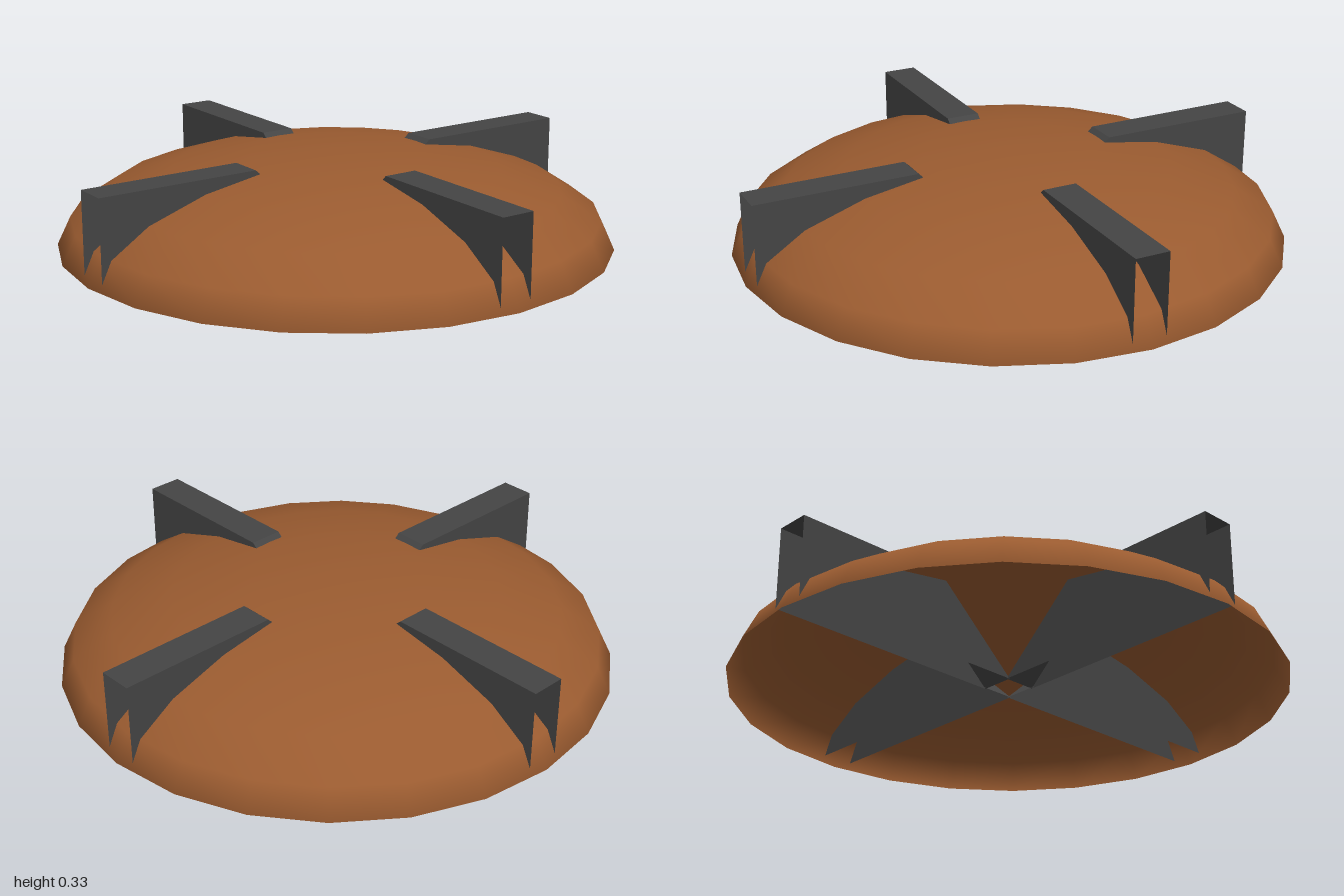
import * as THREE from 'three';

const HALF_WIDTH = 0.0625;
// Side outline of a fin: x runs outward from the centre
const outline = [[0.055, 0.025], [0.98, 0.025], [0.98, 0.32], [0.38, 0.32]].map(([x, y]) => new THREE.Vector2(x, y));

// Flat strip across the fin's width between two outline points, facing up
function strip(a, b) {
  const geo = new THREE.PlaneGeometry(a.distanceTo(b), HALF_WIDTH * 2);
  geo.rotateX(-Math.PI / 2);
  geo.rotateZ(Math.atan2(b.y - a.y, b.x - a.x));
  geo.translate((a.x + b.x) / 2, (a.y + b.y) / 2, 0);
  return geo;
}

export function createModel() {
  const model = new THREE.Group();
  model.name = 'finnedDome';

  const brown = new THREE.MeshStandardMaterial({ color: 0x9a5b30, side: THREE.DoubleSide });
  brown.name = 'brown';
  const darkGrey = new THREE.MeshStandardMaterial({ color: 0x444444, side: THREE.DoubleSide });
  darkGrey.name = 'darkGrey';

  const add = (parent, name, geometry, material) => {
    const mesh = new THREE.Mesh(geometry, material);
    mesh.name = name;
    parent.add(mesh);
  };

  // Shallow open shell
  const shell = new THREE.SphereGeometry(1, 24, 5, 0, Math.PI * 2, 0, Math.PI / 2);
  shell.scale(1, 0.33, 1);
  add(model, 'domeShell', shell, brown);

  // Four hollow fins, open at the bottom and outer end
  const side = new THREE.ShapeGeometry(new THREE.Shape(outline));
  const leftSide = side.clone().translate(0, 0, HALF_WIDTH);
  const rightSide = side.clone().rotateY(Math.PI);
  // Mirrored wall faces outward
  rightSide.scale(-1, 1, 1).translate(0, 0, -HALF_WIDTH);
  const index = rightSide.index.array;
  for (let i = 0; i < index.length; i += 3) [index[i], index[i + 1]] = [index[i + 1], index[i]];
  rightSide.computeVertexNormals();
  const top = strip(outline[3], outline[2]);
  const slope = strip(outline[0], outline[3]);

  for (let i = 0; i < 4; i++) {
    const fin = new THREE.Group();
    fin.name = 'fin' + (i + 1);
    add(fin, 'finLeftWall', leftSide, darkGrey);
    add(fin, 'finRightWall', rightSide, darkGrey);
    add(fin, 'finTop', top, darkGrey);
    add(fin, 'finInnerSlope', slope, darkGrey);
    fin.rotation.y = i * Math.PI / 2;
    model.add(fin);
  }
  return model;
}
